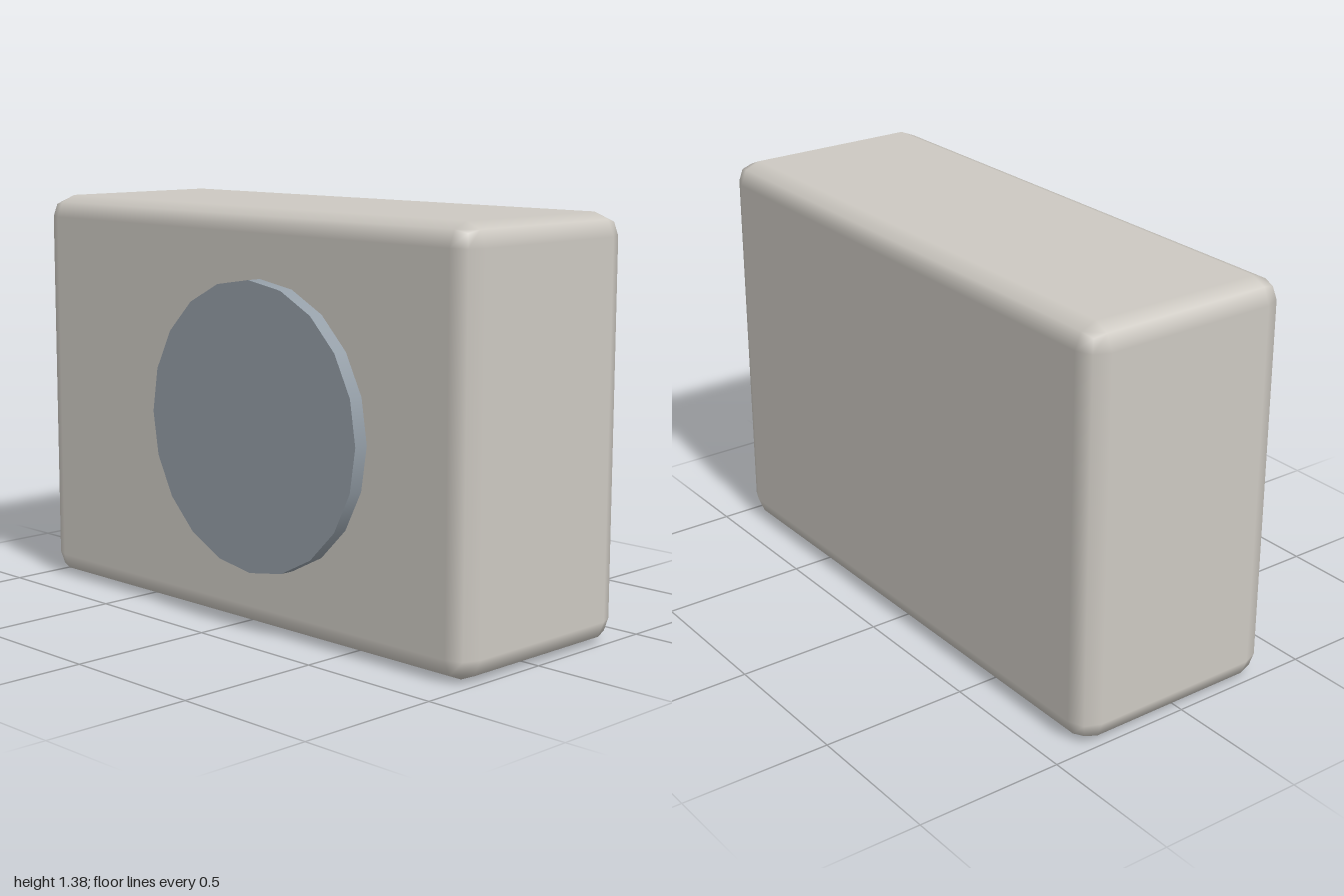
import * as THREE from 'three';
import { RoundedBoxGeometry } from 'three/addons/geometries/RoundedBoxGeometry.js';

export function createModel() {
  const model = new THREE.Group();
  model.name = 'boxWithRoundPanel';

  const casingGrey = new THREE.MeshStandardMaterial({ color: 0xcdc9c2 });
  casingGrey.name = 'warm grey';
  const panelGrey = new THREE.MeshStandardMaterial({ color: 0x959fa8 });
  panelGrey.name = 'slate grey';

  // Casing with softly bevelled edges
  const casing = new THREE.Mesh(new RoundedBoxGeometry(2, 1.375, 0.75, 1, 0.075), casingGrey);
  casing.name = 'casing';
  casing.position.set(0, 0.6875, -0.025);
  model.add(casing);

  // Round front panel, sunk slightly into the casing
  const depth = 0.07;
  const panel = new THREE.Mesh(new THREE.CylinderGeometry(0.475, 0.475, depth, 20), panelGrey);
  panel.name = 'roundFrontPanel';
  panel.rotation.x = Math.PI / 2;
  panel.position.set(0.125, 0.68, 0.4 - depth / 2);
  model.add(panel);

  return model;
}
